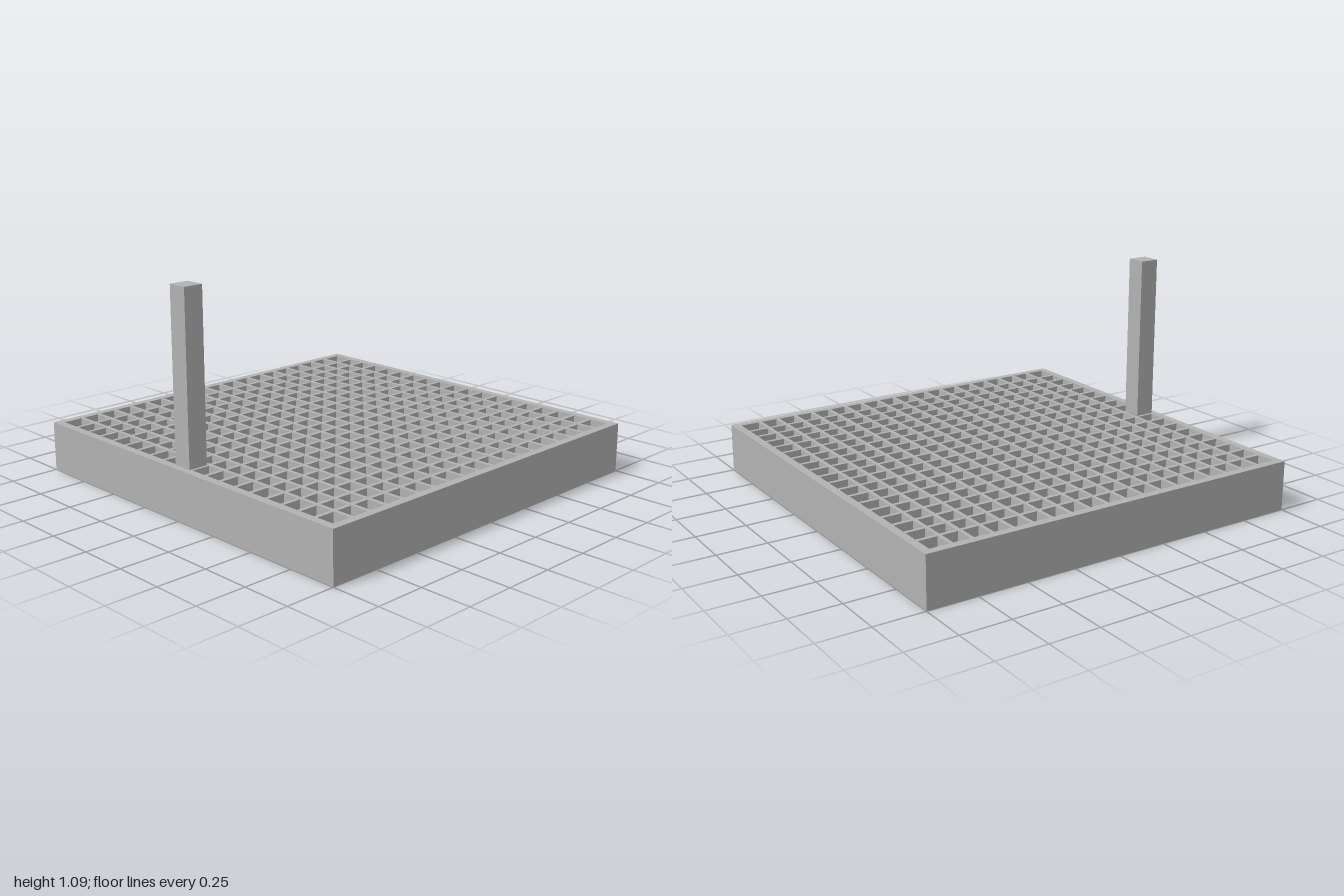
import * as THREE from 'three';

const HEIGHT = 0.25;   // tray depth
const RIM = 0.04;      // rim thickness
const BARS = 18;       // bars in each direction
const PITCH = 0.1005;  // bar spacing
const BAR = 0.019;     // bar thickness

export function createModel() {
  const model = new THREE.Group();
  model.name = 'gratedTray';
  const grey = new THREE.MeshStandardMaterial({ color: 0xb2b2b2 });
  grey.name = 'plain grey';

  const box = (name, size, position, parent) => {
    const mesh = new THREE.Mesh(new THREE.BoxGeometry(...size), grey);
    mesh.name = name;
    mesh.position.set(...position);
    parent.add(mesh);
  };

  // Square outline, used for the outside and the opening of the rim
  const square = (Type, h) => new Type([[-h, -h], [h, -h], [h, h], [-h, h]]
    .map(([x, y]) => new THREE.Vector2(x, y)));

  // Rim: open square frame standing on the ground
  const outline = square(THREE.Shape, 1);
  outline.holes.push(square(THREE.Path, 1 - RIM));
  const rimGeometry = new THREE.ExtrudeGeometry(outline, { depth: HEIGHT, bevelEnabled: false });
  rimGeometry.rotateX(-Math.PI / 2);
  const rim = new THREE.Mesh(rimGeometry, grey);
  rim.name = 'rim';
  model.add(rim);

  // Grate: long bars run front to back, cross bars sit a hair lower between them
  const grate = new THREE.Group();
  grate.name = 'grate';
  model.add(grate);
  const span = 2 - 2 * RIM;
  for (let i = 0; i < BARS; i++) {
    const p = (i - (BARS - 1) / 2) * PITCH;
    box('longBar', [BAR, HEIGHT, span], [p, HEIGHT / 2, 0], grate);
    box('crossBar', [span, HEIGHT - 0.004, BAR], [0, HEIGHT / 2, p], grate);
  }

  // Post: square upright at the middle of the right edge
  box('post', [0.1, 0.835, 0.1], [-0.918, HEIGHT + 0.4175, 0], model);

  return model;
}
